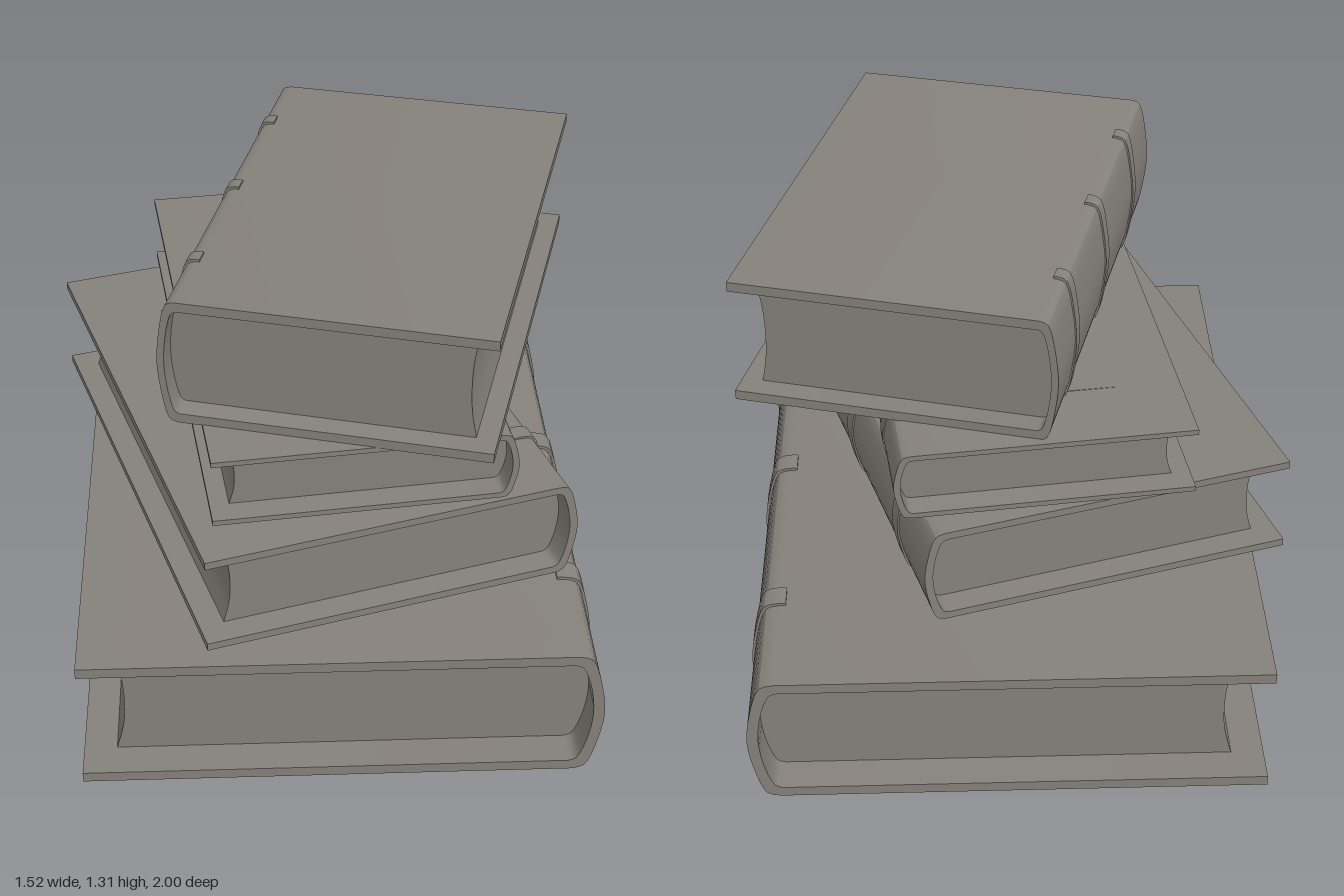
import * as THREE from 'three';
import { toCreasedNormals } from 'three/addons/utils/BufferGeometryUtils.js';

const material = new THREE.MeshStandardMaterial({ color: 0x85817a });

// Upper half of a rounded outline, mirrored below: returns points from top to bottom
const mirrorY = (half) => [...half, ...half.slice(0, -1).reverse().map(([x, y]) => [x, -y])];
const smooth = (points, n = 20) =>
  new THREE.SplineCurve(points.map(([x, y]) => new THREE.Vector2(x, y)))
    .getPoints(n).map((p) => [p.x, p.y]);

// Extrudes an x-y outline along z, centred on zMid
function slab(name, points, length, zMid = 0) {
  const shape = new THREE.Shape(points.map(([x, y]) => new THREE.Vector2(x, y)));
  const geometry = new THREE.ExtrudeGeometry(shape, { depth: length, bevelEnabled: false });
  geometry.translate(0, 0, zMid - length / 2);
  const mesh = new THREE.Mesh(toCreasedNormals(geometry, 0.5), material);
  mesh.name = name;
  return mesh;
}

// Book of 1.42 x 0.4 x 2 with its spine at +x
function createBook(name) {
  const book = new THREE.Group();
  book.name = name;

  const outer = smooth(mirrorY([[0.625, 0.2], [0.668, 0.184], [0.695, 0.1], [0.709, 0]]));
  const inner = smooth(mirrorY([[0.62, 0.17], [0.645, 0.155], [0.668, 0.085], [0.678, 0]]));
  const raised = smooth(mirrorY([[0.625, 0.208], [0.674, 0.191], [0.702, 0.1], [0.715, 0]]));

  // Hard cover: two boards joined by the rounded spine
  book.add(slab('cover', [
    [-0.71, 0.2], ...outer, [-0.71, -0.2],
    [-0.71, -0.17], ...inner.slice().reverse(), [-0.71, 0.17],
  ], 2));

  // Page block, bound into the spine, with a hollow fore-edge
  const foreEdge = smooth(mirrorY([[-0.62, 0.172], [-0.598, 0.085], [-0.592, 0]]), 12);
  const pageSpine = inner.map(([x, y]) => [x + 0.004, y * 1.01]);
  book.add(slab('pages', [...pageSpine, ...foreEdge.slice().reverse()], 1.8));

  // Raised bands across the spine, tapering out under the back board
  for (const z of [-0.635, 0, 0.635]) {
    book.add(slab('spineBand', [
      [0.61, 0.19], [0.61, 0.207], ...raised, [-0.4, -0.2015],
      [-0.4, -0.19], ...outer.slice(2, -2).reverse().map(([x, y]) => [x - 0.01, y * 0.97]),
    ], 0.07, z));
  }
  return book;
}

export function createModel() {
  const model = new THREE.Group();
  model.name = 'bookStack';

  // position, scale, turn in degrees, flipped face down
  const books = [
    ['bottomBook', [0.03, 0.209, 0], [1, 1, 1], 0, false],
    ['secondBook', [-0.038, 0.576, 0.0885], [0.75, 0.73, 0.748], 17, true],
    ['thinBook', [0.011, 0.833, 0.05], [0.58, 0.505, 0.718], 7.2, true],
    ['topBook', [0.157, 1.117, 0.0935], [0.632, 0.925, 0.651], 165, false],
  ];
  for (const [name, position, scale, turn, flipped] of books) {
    const book = createBook(name);
    book.position.set(...position);
    book.scale.set(...scale);
    book.rotation.set(flipped ? Math.PI : 0, THREE.MathUtils.degToRad(turn), 0, 'YXZ');
    model.add(book);
  }
  return model;
}
